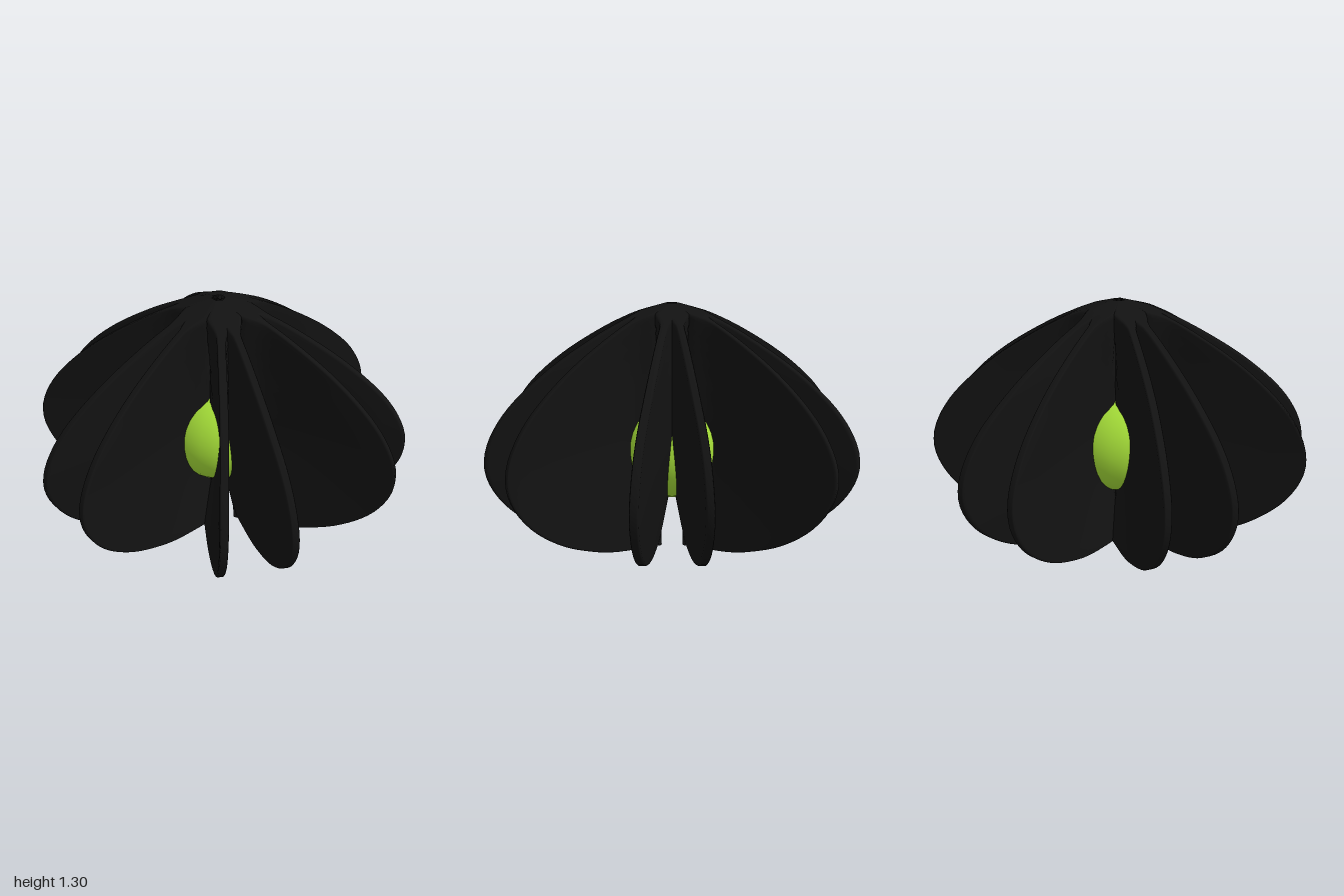
import * as THREE from 'three';

const { smoothstep } = THREE.MathUtils;
const black = new THREE.MeshStandardMaterial({ color: 0x121212, side: THREE.DoubleSide });
const green = new THREE.MeshStandardMaterial({ color: 0xa4dc38 });

// Outer edge of a fin as (radius, height), from foot to apex
const edge = new THREE.SplineCurve([
  [0.14, 0], [0.4, 0.028], [0.56, 0.07], [0.73, 0.145], [0.88, 0.26], [0.97, 0.39], [1, 0.52],
  [0.965, 0.66], [0.855, 0.82], [0.66, 0.99], [0.43, 1.137], [0.23, 1.237], [0.03, 1.303],
].map(([r, y]) => new THREE.Vector2(r, y)));
const foot = new THREE.Vector2(0.13, 0.004);
const apex = new THREE.Vector2(0.012, 1.29);

// Sideways distance of the fin's middle surface from the plane of its pair:
// the foot leans away from its partner, the rim stays straight
function spread(r, y) {
  const lean = 0.106 * Math.max(0, 1 - y / 0.62) ** 1.3 - 0.028 + 0.022 * smoothstep(y, 0.9, 1.3);
  return 0.172 * r + lean * (1 - 0.75 * r);
}

// Half thickness: a thin blade that swells into a spine near the axis
function thickness(r, y) {
  const spine = 0.06 * (1 - smoothstep(r, 0.1, 0.28)) * smoothstep(y, 0.35, 0.72);
  return Math.min(0.021 + spine, 0.014 + 0.4 * r);
}

// One curved fin, built from closed cross-sections running from foot to apex
function finGeometry(side) {
  const rows = 56, positions = [], index = [];
  // Distances from the rim with their share of the thickness, then fractions of the width
  const rim = [[0, 0.65], [0.004, 0.85], [0.014, 1]];
  const body = [0.2, 0.4, 0.55, 0.65, 0.72, 0.78, 0.84, 0.9, 0.95, 1];
  const inner = new THREE.Vector2(), p = new THREE.Vector2();
  let ring = 0;
  for (let i = 0; i <= rows; i++) {
    const t = i / rows;
    const outer = edge.getPointAt(t);
    inner.lerpVectors(foot, apex, t);
    const width = Math.max(outer.distanceTo(inner), 0.001);
    const half = [
      ...rim.map(([e, share]) => [Math.min(e / width, e * 12), share]),
      ...body.map((v) => [v, 1]),
    ];
    const section = [...half, ...half.map(([v, share]) => [v, -share]).reverse()];
    ring = section.length;
    for (const [v, share] of section) {
      p.lerpVectors(outer, inner, v);
      positions.push(p.x, p.y, side * (spread(p.x, p.y) + share * thickness(p.x, p.y)));
    }
  }
  for (let i = 0; i < rows; i++) {
    for (let j = 0; j < ring; j++) {
      const a = i * ring + j, b = i * ring + (j + 1) % ring;
      const c = a + ring, d = b + ring;
      if (side > 0) index.push(a, c, b, b, c, d);
      else index.push(a, b, c, b, d, c);
    }
  }
  const geometry = new THREE.BufferGeometry();
  geometry.setAttribute('position', new THREE.Float32BufferAttribute(positions, 3));
  geometry.setIndex(index);
  geometry.computeVertexNormals();
  return geometry;
}

export function createModel() {
  const model = new THREE.Group();
  model.name = 'finnedLamp';

  // Globe in the middle
  const globe = new THREE.Mesh(new THREE.SphereGeometry(0.292, 24, 16), green);
  globe.name = 'globe';
  globe.position.y = 0.53;
  model.add(globe);

  // Six mirrored pairs of fins around the globe
  const fins = { leftFin: finGeometry(1), rightFin: finGeometry(-1) };
  for (let k = 0; k < 6; k++) {
    const pair = new THREE.Group();
    pair.name = 'finPair' + (k + 1);
    pair.rotation.y = Math.PI / 6 + k * Math.PI / 3;
    for (const [name, geometry] of Object.entries(fins)) {
      const fin = new THREE.Mesh(geometry, black);
      fin.name = name;
      pair.add(fin);
    }
    model.add(pair);
  }
  return model;
}
